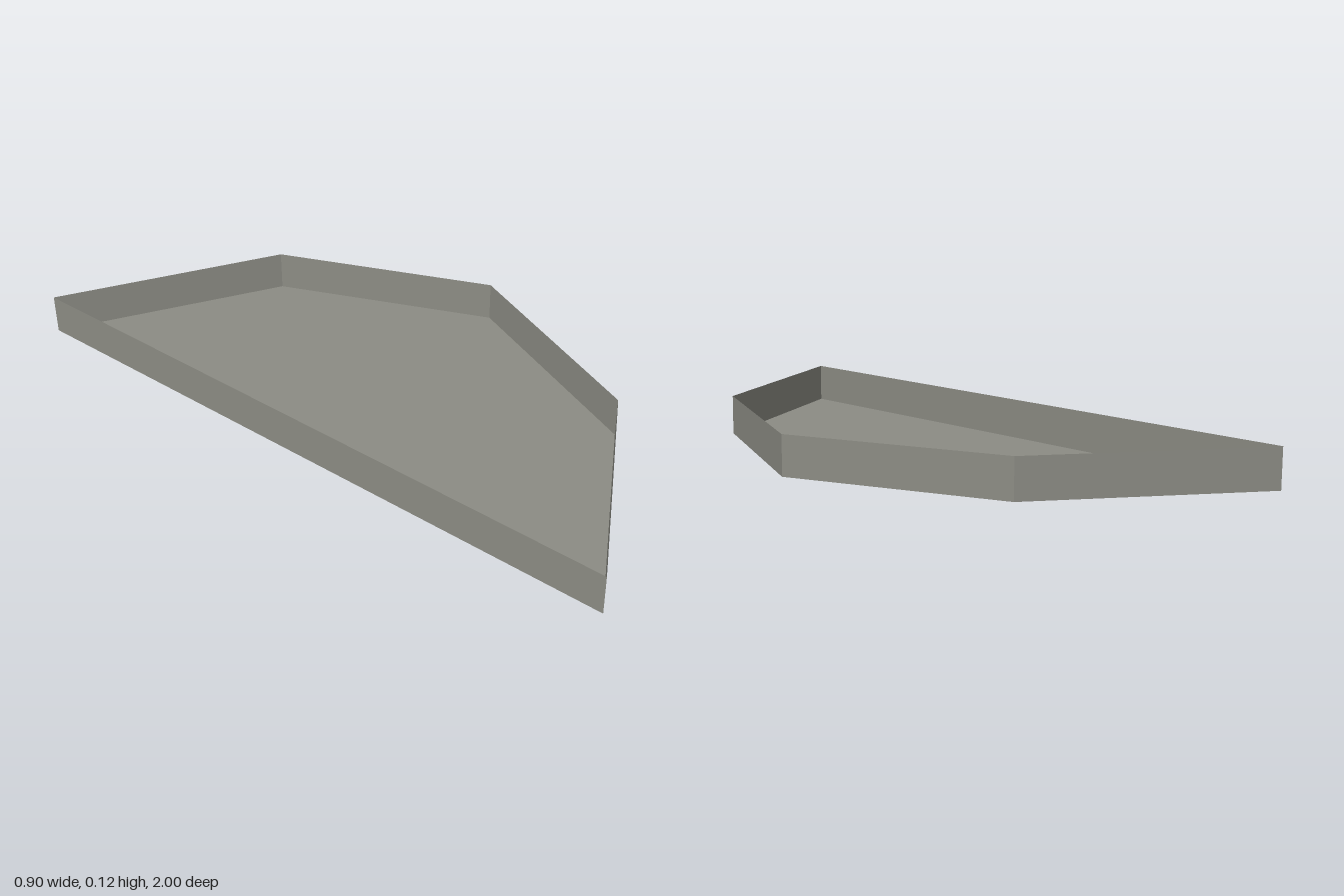
import * as THREE from 'three';

// Outline of the tray as [x, z], running from the front corner round to the back
const OUTLINE = [[-0.45, 1], [0.18, 0.635], [0.45, 0], [0.18, -0.635], [-0.45, -1]];
const HEIGHT = 0.12;

export function createModel() {
  const group = new THREE.Group();
  group.name = 'openTray';
  const grey = new THREE.MeshStandardMaterial({ color: 0x8c8c84, side: THREE.DoubleSide });
  grey.name = 'warm grey';

  // Flat floor
  const shape = new THREE.Shape(OUTLINE.map(([x, z]) => new THREE.Vector2(x, -z)));
  const floor = new THREE.Mesh(new THREE.ShapeGeometry(shape).rotateX(-Math.PI / 2), grey);
  floor.name = 'floor';
  group.add(floor);

  // One thin upright wall on each edge, facing outwards
  OUTLINE.forEach(([ax, az], i) => {
    const [bx, bz] = OUTLINE[(i + 1) % OUTLINE.length];
    const length = Math.hypot(bx - ax, bz - az);
    const wall = new THREE.Mesh(new THREE.PlaneGeometry(length, HEIGHT), grey);
    wall.name = i === OUTLINE.length - 1 ? 'straightWall' : `angledWall${i + 1}`;
    wall.position.set((ax + bx) / 2, HEIGHT / 2, (az + bz) / 2);
    wall.rotation.y = Math.atan2(az - bz, bx - ax);
    group.add(wall);
  });

  return group;
}
